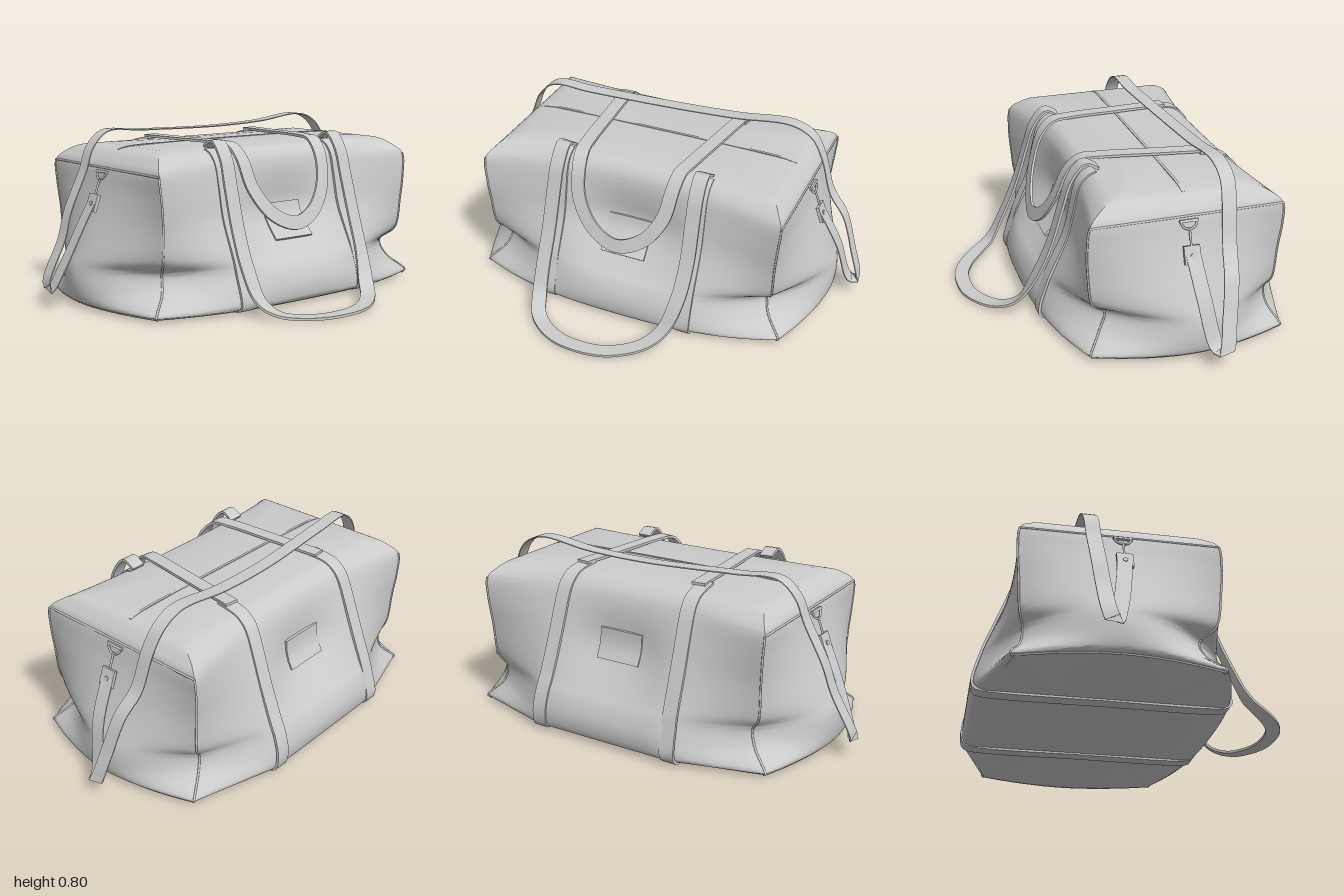
import * as THREE from 'three';
import { toCreasedNormals } from 'three/addons/utils/BufferGeometryUtils.js';

const material = new THREE.MeshStandardMaterial({ color: 0xcccccc, side: THREE.DoubleSide });
const V = (x, y, z) => new THREE.Vector3(x, y, z);
const smooth = THREE.MathUtils.smoothstep;

// Body levels: y, corner x, front corner z, back corner z, front middle z, back middle z, end middle x
const levels = [
  [0.008, 0.75, 0.29, -0.58, 0.41, -0.68, 0.84],
  [0.03, 0.76, 0.30, -0.59, 0.44, -0.715, 0.875],
  [0.10, 0.69, 0.24, -0.55, 0.445, -0.725, 0.89],
  [0.18, 0.67, 0.21, -0.54, 0.42, -0.705, 0.885],
  [0.25, 0.71, 0.28, -0.56, 0.37, -0.67, 0.86],
  [0.40, 0.72, 0.30, -0.57, 0.285, -0.61, 0.80],
  [0.52, 0.73, 0.305, -0.58, 0.25, -0.565, 0.76],
  [0.62, 0.735, 0.295, -0.575, 0.225, -0.525, 0.735],
  [0.665, 0.705, 0.25, -0.53, 0.205, -0.495, 0.705],
  [0.696, 0.665, 0.19, -0.46, 0.17, -0.45, 0.665],
  [0.708, 0.60, 0.12, -0.38, 0.11, -0.38, 0.60],
];
const TOP = levels.length - 1;
const spline = new THREE.CubicInterpolant(levels.map((_, i) => i), levels.flat(), 7);
const levelAt = (s) => Array.from(spline.evaluate(s));

// Point on the front (side = 1) or back (side = -1) wall; t runs -1..1 from corner to corner.
// The walls sag inwards around their centre.
function wallPoint(s, t, side) {
  const [y, cx, zf, zb, mf, mb] = levelAt(s), a = Math.abs(t);
  const corner = side > 0 ? zf : zb, mid = side > 0 ? mf : mb;
  const bulge = side > 0 ? 1 - a ** 2.6 : Math.min(1 - a ** 5, (1 - a) / 0.53);
  const sag = 0.06 * Math.exp(-(((y - 0.4) / 0.15) ** 2)) * (1 - smooth(a, 0.05, 0.5));
  return V(t * cx, y, corner + (mid - corner) * bulge - side * sag);
}
const wallAtX = (s, x, side, lift = 0) => {
  const p = wallPoint(s, x / levelAt(s)[1], side);
  p.z += side * lift;
  return p;
};
// Point on an end wall; t runs -1..1 from back to front
function endPoint(s, t, side) {
  const [y, cx, zf, zb, , , ex] = levelAt(s);
  return V(side * (cx + (ex - cx) * (1 - Math.abs(t) ** 1.8)), y, (zf + zb) / 2 + t * (zf - zb) / 2);
}

// Skin a stack of closed loops and cap both ends with a fan
function loft(loops, crease) {
  const n = loops[0].length, m = loops.length, pos = [], idx = [];
  loops.flat().forEach((p) => pos.push(p.x, p.y, p.z));
  for (let i = 0; i < m - 1; i++) for (let j = 0; j < n; j++) {
    const a = i * n + j, b = i * n + (j + 1) % n;
    idx.push(a, b, b + n, a, b + n, a + n);
  }
  [0, m - 1].forEach((row, k) => {
    const c = loops[row].reduce((sum, p) => sum.add(p), V(0, 0, 0)).divideScalar(n);
    pos.push(c.x, c.y, c.z);
    for (let j = 0; j < n; j++) {
      const a = row * n + j, b = row * n + (j + 1) % n;
      idx.push(m * n + k, ...(k ? [a, b] : [b, a]));
    }
  });
  const g = new THREE.BufferGeometry();
  g.setAttribute('position', new THREE.Float32BufferAttribute(pos, 3));
  g.setIndex(idx);
  return toCreasedNormals(g, crease);
}

// Flat strap along a curve; across(tangent, point) gives its width direction
function ribbon(points, width, thick, across, steps = 90) {
  const curve = new THREE.CatmullRomCurve3(points, false, 'centripetal');
  const loops = [];
  for (let i = 0; i <= steps; i++) {
    const p = curve.getPointAt(i / steps), t = curve.getTangentAt(i / steps);
    const w = across(t, p);
    w.addScaledVector(t, -w.dot(t)).normalize();
    const n = t.clone().cross(w);
    loops.push([[-1, -1], [1, -1], [1, 1], [-1, 1]].map(([a, b]) =>
      p.clone().addScaledVector(w, a * width / 2).addScaledVector(n, b * thick / 2)));
  }
  return loft(loops, 0.7);
}
const alongX = () => V(1, 0, 0), alongZ = () => V(0, 0, 1);
const toPoints = (list) => list.map((a) => V(...a));

export function createModel() {
  const group = new THREE.Group();
  const add = (name, geometry, parent = group) => {
    const mesh = new THREE.Mesh(geometry, material);
    mesh.name = name;
    parent.add(mesh);
    return mesh;
  };

  // Soft body
  const N = 24, rows = 70, loops = [];
  for (let i = 0; i <= rows; i++) {
    const s = TOP * i / rows, loop = [];
    const sides = [
      (t) => wallPoint(s, t, 1), (t) => endPoint(s, -t, 1),
      (t) => wallPoint(s, -t, -1), (t) => endPoint(s, t, -1),
    ];
    sides.forEach((f) => { for (let j = 0; j < N; j++) loop.push(f(-1 + 2 * j / N)); });
    loops.push(loop);
  }
  loops.push(loops[rows].map((p) => V(p.x * 0.6, 0.713, -0.135 + (p.z + 0.135) * 0.6)));
  add('body', loft(loops, 0.75));

  // Piping on the corner seams and around each end panel
  const tube = (pts) => new THREE.TubeGeometry(new THREE.CatmullRomCurve3(pts), 60, 0.005, 6);
  for (const side of [-1, 1]) {
    for (const face of [-1, 1]) {
      const seam = [];
      for (let i = 0; i <= 28; i++) seam.push(wallPoint(i / 4, side, face));
      add('cornerPiping', tube(seam));
    }
    for (const s of [0.3, 7]) {
      const edge = [];
      for (let i = 0; i <= 16; i++) edge.push(endPoint(s, -1 + i / 8, side));
      add('endPiping', tube(edge));
    }
  }

  // Zip along the top
  add('zip', ribbon(toPoints([[-0.66, 0.697, -0.14], [-0.6, 0.708, -0.14], [-0.35, 0.713, -0.14],
    [0.35, 0.713, -0.14], [0.6, 0.708, -0.14], [0.66, 0.697, -0.14]]), 0.012, 0.005, alongZ, 40));

  // Bands running down the front, under the base and up the back
  for (const x of [-0.36, 0.335]) {
    const path = [];
    for (let s = 9.4; s >= 0.4; s -= 0.5) path.push(wallAtX(s, x, 1, 0.003));
    path.push(V(x, 0.006, 0.33), V(x, 0.006, -0.14), V(x, 0.006, -0.6));
    for (let s = 0.4; s <= 9.5; s += 0.5) path.push(wallAtX(s, x - Math.sign(x) * 0.003 * s, -1, 0.003));
    path.push(V(x * 0.9, 0.717, -0.35));
    add('band', ribbon(path, 0.07, 0.012, alongX, 140));
  }

  // Patches on the front and back walls
  for (const [side, from, to] of [[1, 4.25, 5.3], [-1, 4.7, 5.75]]) {
    const path = [0, 0.33, 0.67, 1].map((k) => wallAtX(from + (to - from) * k, -0.01, side, 0.006));
    add(side > 0 ? 'frontPatch' : 'backPatch', ribbon(path, 0.22, 0.018, alongX, 12));
  }

  // Handles: the rear one lies over the top, the front one falls onto the ground
  const facing = (normal) => (t, p) => t.clone().cross(normal(p));
  add('rearHandle', ribbon(toPoints([
    [-0.315, 0.722, -0.4], [-0.297, 0.724, -0.15], [-0.278, 0.726, 0.1], [-0.268, 0.718, 0.19],
    [-0.258, 0.66, 0.25], [-0.235, 0.53, 0.3], [-0.15, 0.41, 0.34], [-0.025, 0.36, 0.36],
    [0.1, 0.41, 0.34], [0.185, 0.53, 0.3], [0.21, 0.66, 0.25], [0.22, 0.718, 0.19],
    [0.235, 0.726, 0.1], [0.27, 0.724, -0.15], [0.305, 0.722, -0.4],
  ]), 0.065, 0.012, facing((p) => V(0, 0.3 + smooth(p.y, 0.6, 0.72), 1 - smooth(p.y, 0.62, 0.72))), 120));
  add('frontHandle', ribbon(toPoints([
    [-0.355, 0.715, 0.14], [-0.357, 0.742, 0.2], [-0.36, 0.67, 0.265], [-0.365, 0.55, 0.305],
    [-0.37, 0.36, 0.365], [-0.372, 0.2, 0.435], [-0.36, 0.07, 0.51], [-0.325, 0.025, 0.585],
    [-0.25, 0.012, 0.65], [-0.16, 0.009, 0.69], [-0.065, 0.008, 0.7], [0.04, 0.009, 0.69],
    [0.13, 0.012, 0.65], [0.215, 0.025, 0.585], [0.275, 0.07, 0.51], [0.315, 0.2, 0.435],
    [0.33, 0.36, 0.365], [0.33, 0.55, 0.305], [0.33, 0.67, 0.265], [0.33, 0.742, 0.2],
    [0.33, 0.715, 0.14],
  ]), 0.068, 0.012, facing((p) => V(0, 1.2 - smooth(p.y, 0.02, 0.3) + smooth(p.y, 0.65, 0.74),
    smooth(p.y, 0.02, 0.3))), 130));

  // Shoulder strap looping down at both ends
  add('shoulderStrap', ribbon(toPoints([
    [-0.79, 0.5, -0.135], [-0.86, 0.36, -0.15], [-0.94, 0.18, -0.18], [-0.985, 0.085, -0.21],
    [-0.99, 0.12, -0.23], [-0.9, 0.3, -0.245], [-0.86, 0.42, -0.255], [-0.77, 0.6, -0.265],
    [-0.73, 0.7, -0.27], [-0.65, 0.77, -0.275], [-0.45, 0.765, -0.285], [0, 0.755, -0.32],
    [0.3, 0.765, -0.33], [0.58, 0.79, -0.33], [0.68, 0.745, -0.33], [0.74, 0.65, -0.32],
    [0.8, 0.48, -0.305], [0.88, 0.38, -0.285], [0.94, 0.22, -0.26], [0.985, 0.075, -0.23],
    [0.95, 0.09, -0.205], [0.89, 0.3, -0.16], [0.79, 0.5, -0.135],
  ]), 0.066, 0.005, alongZ, 150));

  // Metal ring, pin and strap end on each end panel
  for (const side of [-1, 1]) {
    const clasp = new THREE.Group();
    clasp.name = 'clasp';
    clasp.position.set(side * 0.75, 0.605, -0.135);
    clasp.rotation.z = side * 0.35;
    group.add(clasp);
    const ring = add('halfRing', new THREE.TorusGeometry(0.036, 0.005, 8, 20, Math.PI), clasp);
    ring.rotation.set(Math.PI, Math.PI / 2, 0);
    add('ringBar', new THREE.BoxGeometry(0.012, 0.012, 0.085), clasp);
    add('pin', new THREE.CylinderGeometry(0.005, 0.005, 0.09, 10), clasp).position.y = -0.075;
    add('strapEnd', new THREE.BoxGeometry(0.016, 0.08, 0.072), clasp).position.y = -0.145;
    const rivet = add('rivet', new THREE.CylinderGeometry(0.011, 0.011, 0.026, 14), clasp);
    rivet.position.y = -0.15;
    rivet.rotation.z = Math.PI / 2;
  }
  return group;
}
